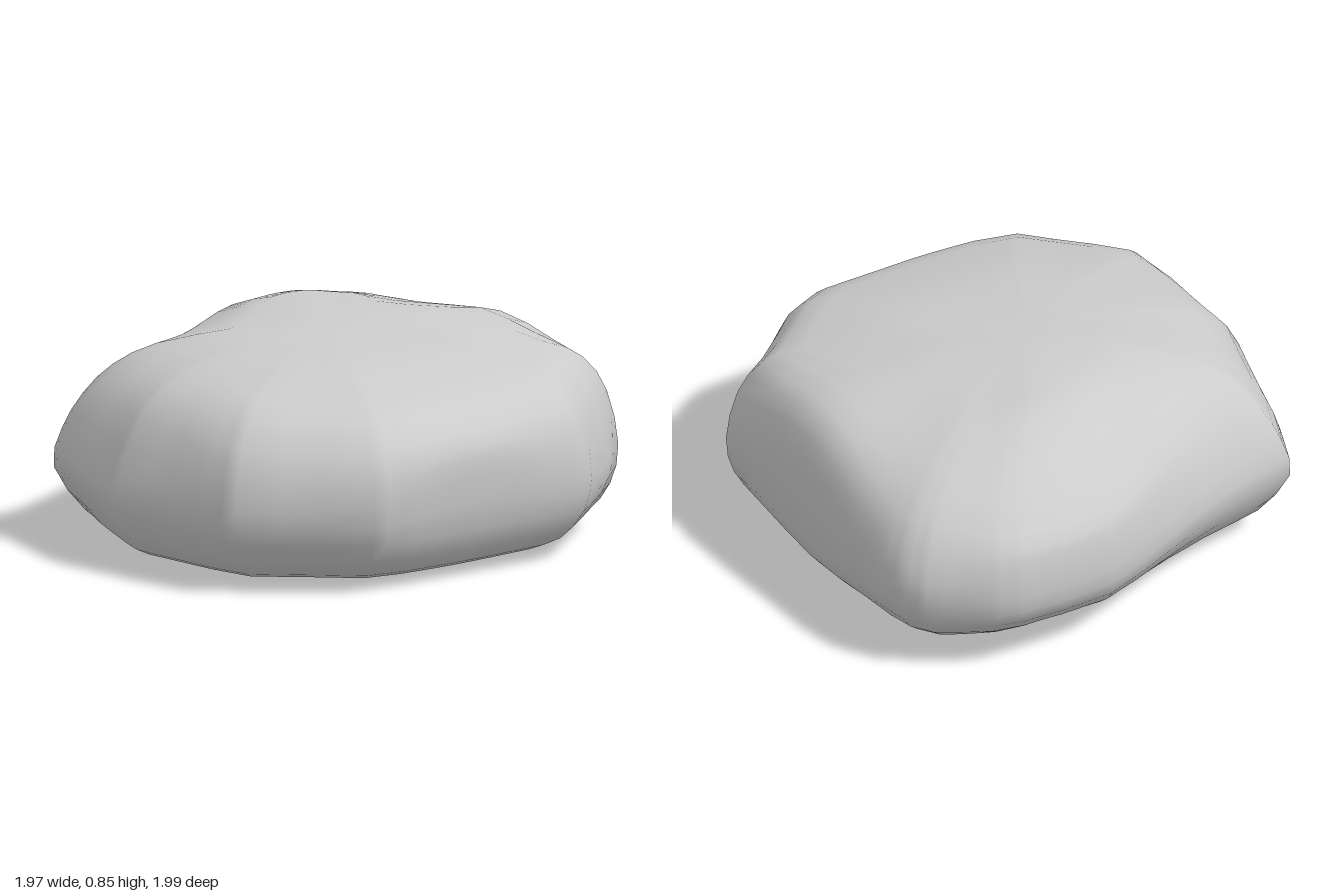
import * as THREE from 'three';

// Plan outline (x, z), running from the left front corner round past the front
const OUTLINE = [
  [0.97, 0.58], [0.57, 0.92], [0.45, 0.97], [0, 0.99], [-0.32, 0.99], [-0.52, 0.96],
  [-0.91, 0.61], [-0.95, 0.4], [-0.98, -0.02], [-0.93, -0.2], [-0.87, -0.43], [-0.79, -0.64],
  [-0.48, -0.72], [-0.27, -0.8], [0, -0.92], [0.18, -0.99], [0.4, -1], [0.58, -0.99],
  [0.7, -0.95], [0.9, -0.81], [0.96, -0.72], [0.98, -0.6], [0.98, 0],
];

// Side profiles (outline scale, height), bottom to top, at angles from +x towards +z
const PROFILES = [
  { angle: 0, points: [[0.8, 0.03], [0.92, 0.07], [0.99, 0.2], [1, 0.5], [0.97, 0.65], [0.88, 0.755], [0.65, 0.8], [0.35, 0.83]] },
  { angle: 42, points: [[0.78, 0.035], [0.89, 0.07], [0.97, 0.17], [1, 0.29], [0.96, 0.51], [0.88, 0.65], [0.76, 0.72], [0.4, 0.795]] },
  { angle: 92, points: [[0.76, 0.025], [0.86, 0.055], [0.97, 0.2], [1, 0.42], [0.99, 0.53], [0.92, 0.62], [0.78, 0.7], [0.4, 0.785]] },
  { angle: 133, points: [[0.78, 0.035], [0.87, 0.06], [0.97, 0.19], [1, 0.32], [0.98, 0.47], [0.91, 0.59], [0.79, 0.68], [0.4, 0.785]] },
  { angle: 180, points: [[0.8, 0.04], [0.9, 0.07], [1, 0.23], [0.985, 0.37], [0.89, 0.57], [0.76, 0.69], [0.55, 0.765], [0.3, 0.8]] },
  { angle: 219, points: [[0.78, 0.05], [0.88, 0.1], [1, 0.27], [0.97, 0.42], [0.89, 0.56], [0.78, 0.67], [0.62, 0.75], [0.35, 0.805]] },
  { angle: 295, points: [[0.72, 0.07], [0.83, 0.11], [0.97, 0.23], [1, 0.35], [0.985, 0.5], [0.93, 0.59], [0.72, 0.76], [0.42, 0.85]] },
  { angle: 320, points: [[0.76, 0.05], [0.86, 0.09], [0.97, 0.21], [1, 0.35], [0.98, 0.47], [0.91, 0.61], [0.74, 0.74], [0.42, 0.835]] },
];
const RINGS = 15;

// Each profile rounded by a spline and cut into the same number of rings
const CURVES = PROFILES.map(({ points }) =>
  new THREE.SplineCurve(points.map((p) => new THREE.Vector2(...p))).getPoints(RINGS - 1));

// Outline with straight runs divided so the blend between profiles stays smooth
function divideOutline(parts) {
  return OUTLINE.flatMap(([x, z], i) => {
    const [nx, nz] = OUTLINE[(i + 1) % OUTLINE.length];
    return Array.from({ length: parts }, (_, k) => [x + (nx - x) * k / parts, z + (nz - z) * k / parts]);
  });
}

// Scale (x) and height (y) of one ring in the direction of (x, z)
function profileAt(ring, x, z) {
  const angle = (THREE.MathUtils.radToDeg(Math.atan2(z, x)) + 360) % 360;
  const from = PROFILES.findLastIndex((p) => p.angle <= angle);
  const to = (from + 1) % PROFILES.length;
  const t = THREE.MathUtils.smoothstep(angle, PROFILES[from].angle, PROFILES[to].angle || 360);
  return CURVES[from][ring].clone().lerp(CURVES[to][ring], t);
}

function rockGeometry() {
  const outline = divideOutline(3);
  const n = outline.length;
  const positions = [], index = [];
  for (let r = 0; r < RINGS; r++) {
    for (const [x, z] of outline) {
      const p = profileAt(r, x, z);
      positions.push(x * p.x, p.y, z * p.x);
    }
  }
  // Centre points close the underside and the top
  const bottom = n * RINGS, top = bottom + 1;
  positions.push(0.05, 0, 0, 0.02, 0.82, -0.02);
  for (let i = 0; i < n; i++) {
    const j = (i + 1) % n;
    for (let r = 0; r < RINGS - 1; r++) {
      const a = r * n + i, b = r * n + j;
      index.push(a, a + n, b, b, a + n, b + n);
    }
    const last = (RINGS - 1) * n;
    index.push(bottom, i, j, top, last + j, last + i);
  }
  const geometry = new THREE.BufferGeometry();
  geometry.setAttribute('position', new THREE.Float32BufferAttribute(positions, 3));
  geometry.setIndex(index);
  geometry.computeVertexNormals();
  return geometry;
}

export function createModel() {
  const group = new THREE.Group();
  group.name = 'boulder';
  const rock = new THREE.Mesh(rockGeometry(), new THREE.MeshStandardMaterial({ color: 0xcccccc }));
  rock.name = 'rock';
  group.add(rock);
  return group;
}
